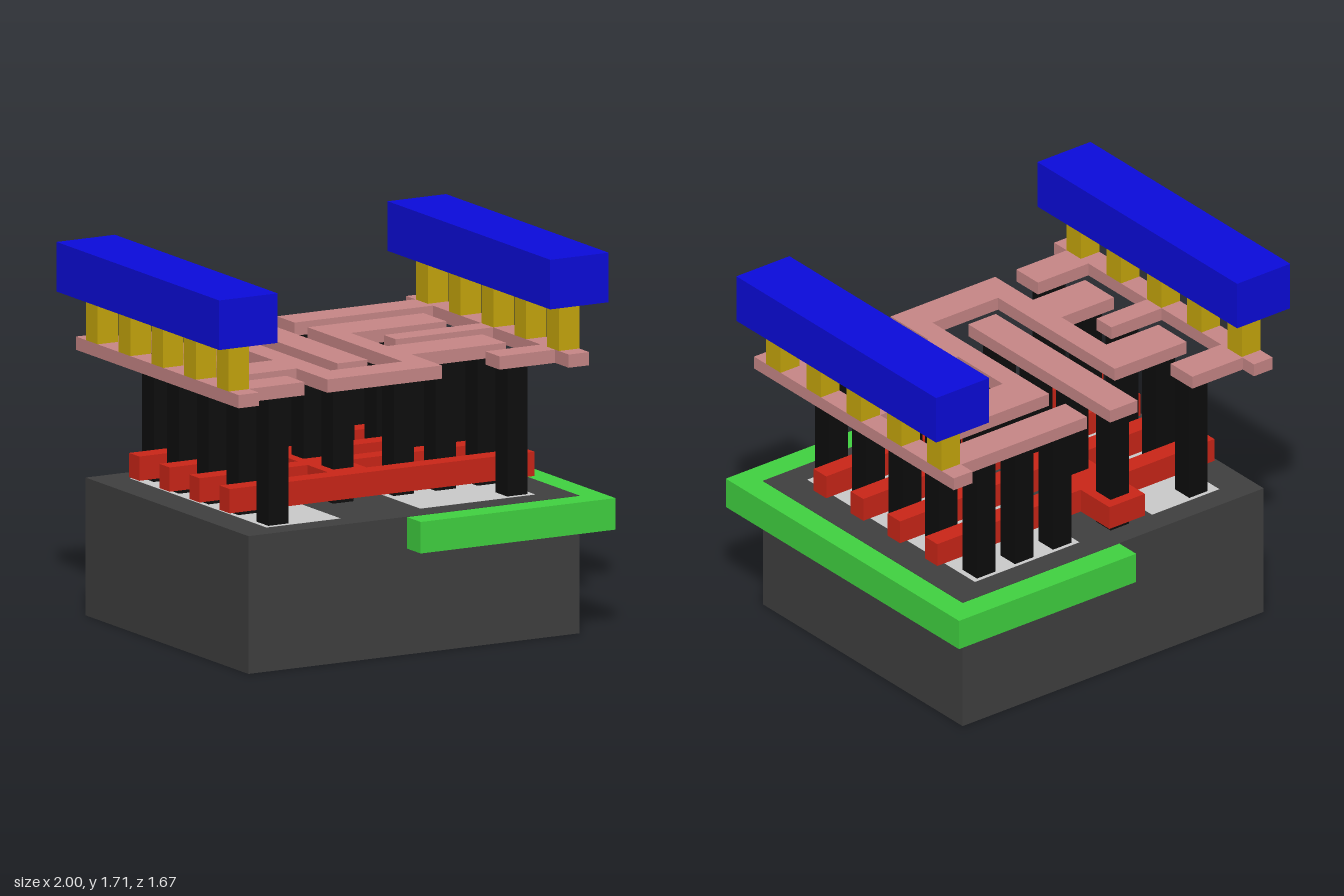
import * as THREE from 'three';

const mat = (color) => new THREE.MeshStandardMaterial({ color, flatShading: true });

export function createModel() {
  const model = new THREE.Group();
  const dark = mat(0x404040), green = mat(0x41d441), grey = mat(0xcccccc), red = mat(0xcc2618);
  const black = mat(0x0d0d0d), pink = mat(0xc98888), gold = mat(0xc8a80c), blue = mat(0x0b0bdd);

  // Box given by its limits on each axis
  const box = (name, material, [x0, x1], [y0, y1], [z0, z1], parent = model) => {
    const mesh = new THREE.Mesh(new THREE.BoxGeometry(x1 - x0, y1 - y0, z1 - z0), material);
    mesh.position.set((x0 + x1) / 2, (y0 + y1) / 2, (z0 + z1) / 2);
    mesh.name = name;
    parent.add(mesh);
  };
  // Flat plate from an outline of [x, z] points
  const plate = (name, material, [y0, y1], points) => {
    const shape = new THREE.Shape(points.map(([x, z]) => new THREE.Vector2(x, -z)));
    const geometry = new THREE.ExtrudeGeometry(shape, { depth: y1 - y0, bevelEnabled: false });
    geometry.rotateX(-Math.PI / 2).translate(0, y0, 0);
    const mesh = new THREE.Mesh(geometry, material);
    mesh.name = name;
    model.add(mesh);
  };
  const group = (name) => {
    const g = new THREE.Group();
    g.name = name;
    model.add(g);
    return g;
  };

  // Base block, the well set into one side, and the surface pads
  box('substrate', dark, [-0.85, 0.85], [0, 0.625], [-0.715, 0.715]);
  box('well', green, [-0.035, 0.965], [0.48, 0.623], [-0.835, 0.835]);
  box('rightPad', grey, [-0.69, -0.31], [0.55, 0.626], [-0.6, 0.6]);
  box('leftPad', grey, [0.1, 0.69], [0.55, 0.626], [-0.6, 0.6]);

  // Gate: four crossing bars joined by a spine
  const gate = group('gate');
  for (const z of [-0.4, -0.133, 0.13, 0.395])
    box('gateBar', red, [-0.785, 0.78], [0.67, 0.78], [z - 0.045, z + 0.045], gate);
  box('gateSpine', red, [-0.23, -0.03], [0.67, 0.78], [-0.65, 0.44], gate);

  // Contact pillars
  const pillars = group('contacts');
  const rows = [
    [-0.53, [-0.587, 0.183, 0.398, 0.612]],
    [-0.548, [-0.128]],
    [-0.26, [-0.615, -0.128, 0.183, 0.398, 0.612]],
    [0, [-0.615, -0.128, 0.398, 0.612]],
    [0.262, [-0.615, -0.128, 0.183, 0.398, 0.612]],
    [0.525, [-0.615, 0.612]],
  ];
  for (const [z, xs] of rows)
    for (const x of xs)
      box('contact', black, [x - 0.052, x + 0.052], [0.625, 1.21], [z - 0.052, z + 0.052], pillars);

  // Lower metal: two comb-shaped rails, the output track and the input strip
  const metal = [1.21, 1.27];
  const comb = (name, side, teeth) => {
    const points = [[0.9, 0.715], [0.9, -0.715], [0.795, -0.715]];
    for (const [z0, z1, tip] of teeth) points.push([0.795, z0], [tip, z0], [tip, z1], [0.795, z1]);
    points.push([0.795, 0.715]);
    plate(name, pink, metal, points.map(([x, z]) => [x * side, z]));
  };
  comb('rightRail', -1, [[-0.635, -0.48, 0.51], [-0.055, 0.05, 0.51], [0.47, 0.625, 0.51]]);
  comb('leftRail', 1, [[-0.635, -0.48, 0.085], [-0.055, 0.05, 0.295], [0.47, 0.595, 0.51]]);
  plate('outputTrack', pink, metal, [
    [-0.69, -0.365], [-0.285, -0.365], [-0.285, 0.47], [0.085, 0.47], [0.085, -0.365],
    [0.68, -0.365], [0.68, -0.165], [0.19, -0.165], [0.19, 0.155], [0.68, 0.155],
    [0.68, 0.36], [0.195, 0.36], [0.195, 0.63], [-0.395, 0.63], [-0.395, 0.36],
    [-0.69, 0.36], [-0.69, 0.155], [-0.395, 0.155], [-0.395, -0.165], [-0.69, -0.165],
  ]);
  box('inputStrip', pink, [-0.185, -0.03], metal, [-0.655, 0.36]);

  // Posts and upper rails on both sides
  for (const side of [-1, 1]) {
    const span = (a, b) => (side > 0 ? [a, b] : [-b, -a]);
    const upper = group(side > 0 ? 'leftUpperRail' : 'rightUpperRail');
    for (let i = -2; i <= 2; i++)
      box('post', gold, span(0.795, 0.9), [1.27, 1.485], [i * 0.288 - 0.052, i * 0.288 + 0.052], upper);
    box('beam', blue, span(0.7, 1), [1.485, 1.71], [-0.715, 0.715], upper);
  }
  return model;
}
